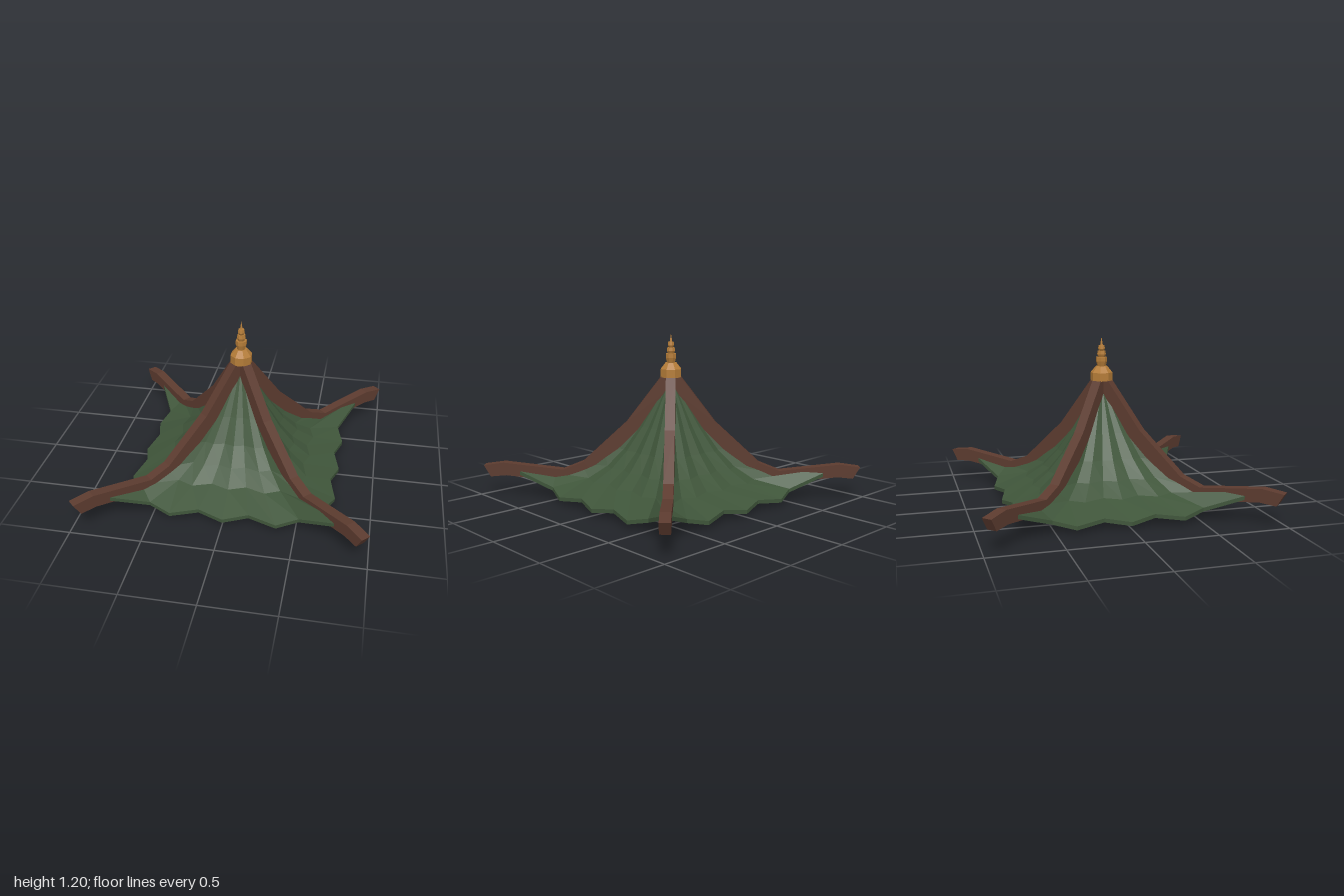
import * as THREE from 'three';

const material = (color) => new THREE.MeshStandardMaterial({ color, flatShading: true, side: THREE.DoubleSide });
const green = material(0x3f553a);
const brown = material(0x5c3b2f);
const gold = material(0xb47c38);

// Half an eave from the middle of a side to the corner: [along, outward, corner weight, dip weight]
const EAVE = [[0, 0.742, 0, 1], [0.175, 0.692, 0, 0], [0.37, 0.742, 0.03, 1], [0.52, 0.692, 0.1, 0], [0.86, 0.86, 1, 0]];

// Rings from apex to eave: [scale, height mid-side, height at corner, dip of the outer folds]
const RINGS = [
  [0, 0.89, 0.89, 0],
  [0.26, 0.53, 0.53, 0],
  [0.4, 0.36, 0.365, 0],
  [0.54, 0.24, 0.235, 0.005],
  [0.7, 0.15, 0.165, 0.01],
  [1, 0.075, 0.225, 0.025],
];

// Points of one closed ring, eight per side
function ringPoints([scale, mid, corner, dip], drop = 0) {
  const points = [];
  for (let side = 0; side < 4; side++) {
    for (let i = -4; i < 4; i++) {
      const [along, out, cornerWeight, dipWeight] = EAVE[Math.abs(i)];
      const y = mid + (corner - mid) * cornerWeight - dip * dipWeight - drop;
      const p = new THREE.Vector3(Math.sign(i) * along * scale, y, out * scale);
      points.push(p.applyAxisAngle(new THREE.Vector3(0, 1, 0), side * Math.PI / 2));
    }
  }
  return points;
}

// Fluted roof skin, eave lip and underside as one closed shell
function roofGeometry() {
  const rings = RINGS.map((ring) => ringPoints(ring));
  rings.push(ringPoints(RINGS[RINGS.length - 1], 0.027));
  rings.push(ringPoints([0, 0, 0, 0]));
  const n = rings[0].length;
  const positions = [];
  const triangle = (...corners) => corners.forEach((p) => positions.push(p.x, p.y, p.z));
  for (let j = 0; j < rings.length - 1; j++) {
    for (let i = 0; i < n; i++) {
      const k = (i + 1) % n;
      const a = rings[j][i], b = rings[j + 1][i], c = rings[j + 1][k], d = rings[j][k];
      if (j < rings.length - 2) triangle(a, b, c);
      if (j > 0) triangle(a, c, d);
    }
  }
  const geometry = new THREE.BufferGeometry();
  geometry.setAttribute('position', new THREE.Float32BufferAttribute(positions, 3));
  geometry.computeVertexNormals();
  return geometry;
}

// Hip beam profile along the diagonal, extruded to the beam width
function beamGeometry() {
  const top = [[0, 0.95], [0.05, 0.89], [0.23, 0.555], [0.455, 0.26], [0.56, 0.2], [0.87, 0.25], [0.975, 0.23]];
  const bottom = [[0.94, 0.145], [0.86, 0.155], [0.56, 0.11], [0.4, 0.18], [0.17, 0.5], [0, 0.81]];
  const outline = [...top, ...bottom].map(([d, y]) => new THREE.Vector2(d * Math.SQRT2, y));
  const width = 0.07;
  const geometry = new THREE.ExtrudeGeometry(new THREE.Shape(outline), { depth: width, bevelEnabled: false });
  return geometry.translate(0, 0, -width / 2);
}

// Eight-sided stepped spire
function finialGeometry() {
  const profile = [
    [0, 0.885], [0.079, 0.885], [0.079, 0.945], [0.042, 0.99], [0.03, 0.99], [0.04, 1.025], [0.04, 1.055],
    [0.024, 1.055], [0.032, 1.075], [0.028, 1.1], [0.017, 1.1], [0.025, 1.115], [0.021, 1.14], [0.01, 1.14], [0, 1.2],
  ].map(([r, y]) => new THREE.Vector2(r, y));
  return new THREE.LatheGeometry(profile, 8, Math.PI / 8);
}

export function createModel() {
  const model = new THREE.Group();
  model.name = 'pavilionRoof';
  const add = (name, geometry, mat) => {
    const mesh = new THREE.Mesh(geometry, mat);
    mesh.name = name;
    model.add(mesh);
    return mesh;
  };

  add('flutedRoof', roofGeometry(), green);

  // Four hip beams on the diagonals
  const beam = beamGeometry();
  ['BackLeft', 'BackRight', 'FrontRight', 'FrontLeft'].forEach((corner, i) => {
    add('hipBeam' + corner, beam, brown).rotation.y = Math.PI / 4 + i * Math.PI / 2;
  });

  add('finial', finialGeometry(), gold);
  return model;
}
